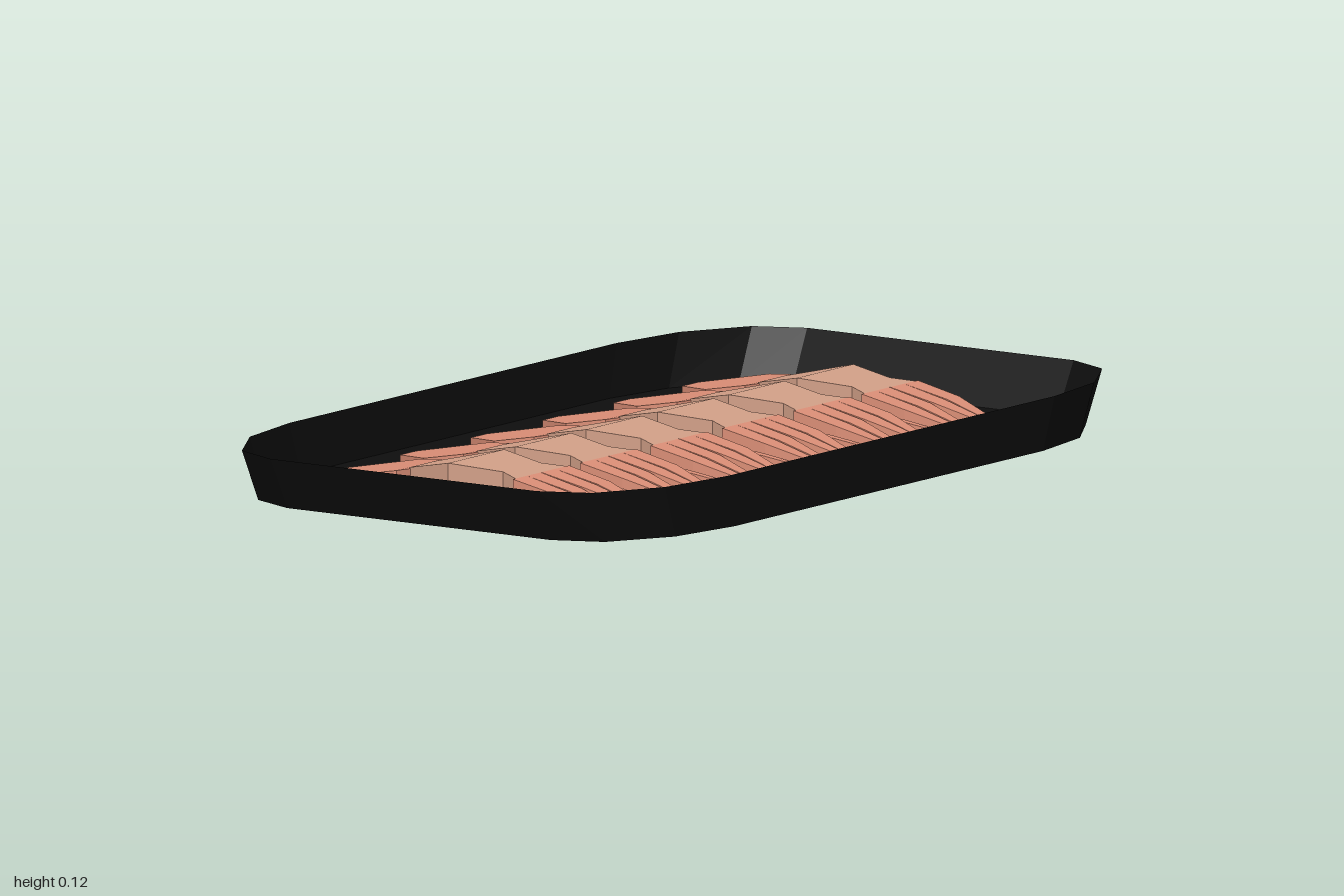
import * as THREE from 'three';

// Closed loft with box cross-sections; each ring is [z, halfWidth, bottom, top, xCentre]
function loft(rings) {
  const pos = [];
  const pts = rings.map(([z, w, b, t, x = 0]) => [[x - w, b, z], [x + w, b, z], [x + w, t, z], [x - w, t, z]]);
  const quad = (a, b, c, d) => pos.push(...a, ...b, ...c, ...a, ...c, ...d);
  for (let k = 0; k < pts.length - 1; k++) {
    for (let i = 0; i < 4; i++) {
      const j = (i + 1) % 4;
      quad(pts[k][i], pts[k][j], pts[k + 1][j], pts[k + 1][i]);
    }
  }
  const s = pts[0], e = pts[pts.length - 1];
  quad(s[0], s[3], s[2], s[1]);
  quad(e[0], e[1], e[2], e[3]);
  return toGeometry(pos);
}

function toGeometry(pos) {
  const g = new THREE.BufferGeometry();
  g.setAttribute('position', new THREE.Float32BufferAttribute(pos, 3));
  g.computeVertexNormals();
  return g;
}

function createTray(material) {
  const tray = new THREE.Group();
  tray.name = 'tray';
  // Quarter outline mirrored into the whole rim
  const q = [[1, 0.35], [0.95, 0.46], [0.8, 0.545], [0.61, 0.575]];
  const r = [...q].reverse();
  const rim = [
    ...q, ...r.map(([x, z]) => [-x, z]),
    ...q.map(([x, z]) => [-x, -z]), ...r.map(([x, z]) => [x, -z]),
  ];
  const base = rim.map(([x, z]) => [x * 0.943, z * 0.99]);
  const H = 0.115, pos = [];
  rim.forEach(([x0, z0], i) => {
    const j = (i + 1) % rim.length;
    const [x1, z1] = rim[j], [a0, c0] = base[i], [a1, c1] = base[j];
    pos.push(a0, 0, c0, x0, H, z0, x1, H, z1, a0, 0, c0, x1, H, z1, a1, 0, c1);
  });
  const wall = new THREE.Mesh(toGeometry(pos), material);
  wall.name = 'trayWall';
  const shape = new THREE.Shape(base.map(([x, z]) => new THREE.Vector2(x, -z)));
  const floor = new THREE.Mesh(new THREE.ShapeGeometry(shape).rotateX(-Math.PI / 2), material);
  floor.name = 'trayFloor';
  tray.add(wall, floor);
  return tray;
}

export function createModel() {
  const model = new THREE.Group();
  model.name = 'shrimpPlatter';
  const black = new THREE.MeshStandardMaterial({ color: 0x0e0e0e, side: THREE.DoubleSide });
  black.name = 'trayBlack';
  const salmon = new THREE.MeshStandardMaterial({ color: 0xdc8f77 });
  salmon.name = 'salmonPink';
  const flesh = new THREE.MeshStandardMaterial({ color: 0xd3a088 });
  flesh.name = 'paleFlesh';

  model.add(createTray(black));

  // Flat fan tail, sloping down to the back
  const tailGeo = loft([
    [-0.425, 0.03, 0.005, 0.032],
    [-0.3, 0.12, 0.015, 0.05],
    [-0.22, 0.085, 0.025, 0.062],
    [-0.205, 0.05, 0.026, 0.063],
  ]);
  // Body with a hump and a narrow waist
  const bodyGeo = loft([
    [-0.21, 0.05, 0.015, 0.065],
    [-0.07, 0.105, 0.015, 0.096],
    [0.05, 0.07, 0.01, 0.084],
    [0.1, 0.095, 0.01, 0.078],
  ]);
  // Broad upper legs: [x, tip x, tip z]
  const legGeos = [
    [-0.079, -0.055, 0.34], [-0.027, -0.025, 0.33], [0.027, 0.03, 0.365], [0.079, 0.06, 0.345],
  ].map(([x, tip, z]) => loft([
    [0.1, 0.026, 0.045, 0.078, x],
    [0.21, 0.023, 0.032, 0.055, x],
    [z, 0.009, 0.003, 0.014, tip],
  ]));
  // Thin lower legs in between
  const thinLegGeos = [-0.09, -0.052, 0, 0.052, 0.09].map((x, i) => loft([
    [0.1, 0.012, 0.012, 0.04, x],
    [0.2, 0.01, 0.01, 0.028, x],
    [0.3 + 0.02 * (i % 3), 0.006, 0.002, 0.01, x * 0.85],
  ]));

  [-0.63, -0.38, -0.117, 0.15, 0.415, 0.67].forEach((x) => {
    const shrimp = new THREE.Group();
    shrimp.name = 'shrimp';
    shrimp.position.x = x;
    const add = (geo, mat, name) => {
      const mesh = new THREE.Mesh(geo, mat);
      mesh.name = name;
      shrimp.add(mesh);
    };
    add(tailGeo, salmon, 'tail');
    add(bodyGeo, flesh, 'body');
    legGeos.forEach((g) => add(g, salmon, 'leg'));
    thinLegGeos.forEach((g) => add(g, salmon, 'thinLeg'));
    model.add(shrimp);
  });
  return model;
}
